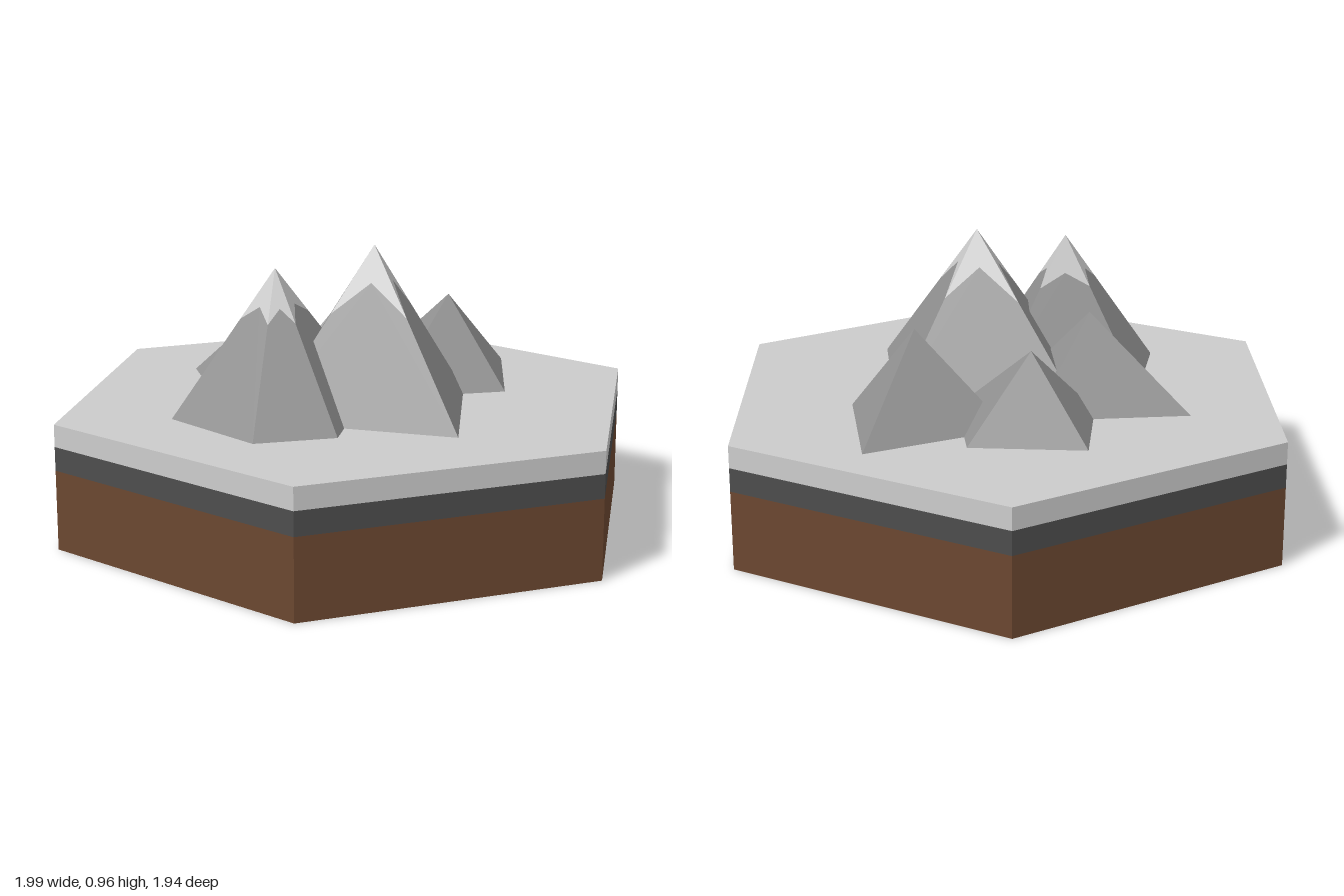
import * as THREE from 'three';

const GROUND = 0.425;

const material = (color, side = THREE.FrontSide) =>
  new THREE.MeshStandardMaterial({ color, flatShading: true, side });

// Hexagonal slab between two heights
function slab(name, bottom, top, color) {
  const geometry = new THREE.CylinderGeometry(1.02, 1.02, top - bottom, 6, 1, false, 0.31);
  const mesh = new THREE.Mesh(geometry, material(color));
  mesh.name = name;
  mesh.position.y = (bottom + top) / 2;
  return mesh;
}

function facetMesh(name, points, color) {
  const geometry = new THREE.BufferGeometry().setFromPoints(points);
  geometry.computeVertexNormals();
  const mesh = new THREE.Mesh(geometry, material(color, THREE.DoubleSide));
  mesh.name = name;
  return mesh;
}

// Irregular pyramid; corners run from +z through +x to -z and -x.
// cap = [fraction down the ridges, fraction down the face middles]
function mountain({ name, apex, corners, cap }) {
  const group = new THREE.Group();
  group.name = name;
  const peak = new THREE.Vector3(...apex);
  const base = corners.map(([x, z]) => new THREE.Vector3(x, GROUND - 0.005, z));
  const rock = [], snow = [];
  base.forEach((a, i) => {
    const b = base[(i + 1) % base.length];
    if (!cap) {
      rock.push(peak, a, b);
      return;
    }
    const tipA = peak.clone().lerp(a, cap[0]);
    const tipB = peak.clone().lerp(b, cap[0]);
    const notch = peak.clone().lerp(a.clone().lerp(b, 0.5), cap[1]);
    snow.push(peak, tipA, notch, peak, notch, tipB);
    rock.push(tipA, a, notch, notch, a, b, notch, b, tipB);
  });
  group.add(facetMesh('rock', rock, 0x929292));
  if (cap) group.add(facetMesh('snowCap', snow, 0xcccccc));
  return group;
}

const MOUNTAINS = [
  { name: 'mainMountain', apex: [0.01, 0.965, 0.13], cap: [0.39, 0.21],
    corners: [[0.01, 0.615], [0.375, 0.14], [0.01, -0.39], [-0.42, 0.12]] },
  { name: 'leftMountain', apex: [-0.31, 0.905, 0.03], cap: [0.33, 0.24],
    corners: [[-0.31, 0.41], [0.1, -0.02], [-0.33, -0.31], [-0.65, -0.07], [-0.57, 0.32]] },
  { name: 'rightMountain', apex: [0.4, 0.73, 0.005],
    corners: [[0.47, 0.25], [0.74, -0.13], [0.25, -0.29], [0.08, 0.1]] },
  { name: 'backRightMountain', apex: [0.21, 0.695, -0.34],
    corners: [[0.23, 0], [0.465, -0.31], [0.2, -0.595], [-0.09, -0.34]] },
  { name: 'backLeftMountain', apex: [-0.13, 0.735, -0.265],
    corners: [[-0.1, 0.05], [0.15, -0.28], [-0.27, -0.605], [-0.42, -0.15]] },
];

export function createModel() {
  const model = new THREE.Group();
  model.name = 'mountainTile';

  // Layered tile
  model.add(
    slab('soilLayer', 0, 0.27, 0x6b4730),
    slab('bedrockLayer', 0.27, 0.35, 0x4d4d4d),
    slab('stoneLayer', 0.35, GROUND, 0xcccccc),
  );

  // Mountain cluster
  MOUNTAINS.forEach((m) => model.add(mountain(m)));
  return model;
}
